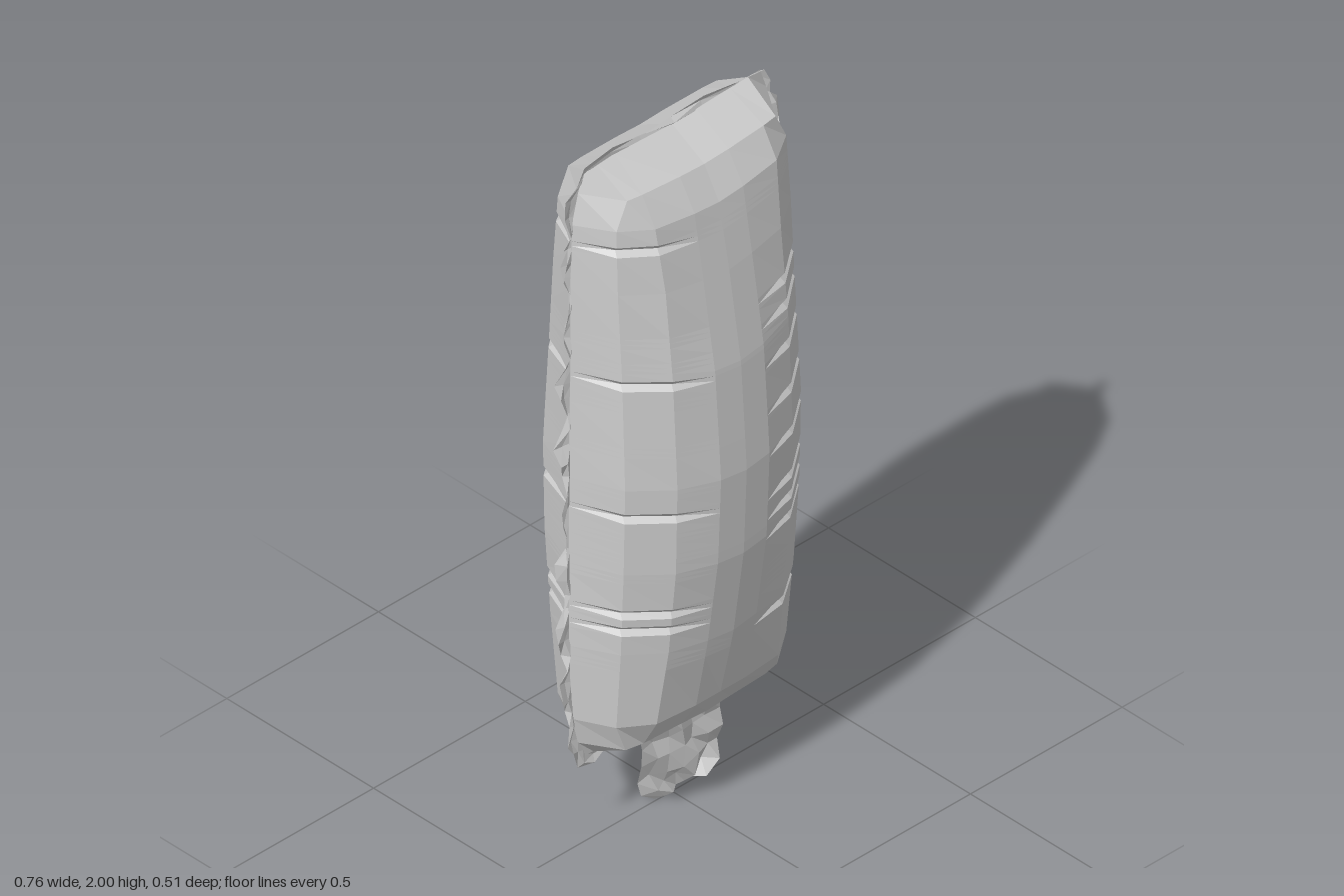
import * as THREE from 'three';

// Body sections: y, edge half-width, then x/z of three facets and the centre depth
const SECTIONS = [
  [1.97, 0.29, 0.25, 0, 0.19, 0, 0.08, 0, 0],
  [1.91, 0.31, 0.245, 0.1, 0.2, 0.105, 0.08, 0.11, 0.11],
  [1.83, 0.33, 0.28, 0.1, 0.2, 0.15, 0.08, 0.16, 0.16],
  [1.65, 0.335, 0.285, 0.11, 0.19, 0.175, 0.08, 0.19, 0.195],
  [1.4, 0.335, 0.285, 0.125, 0.19, 0.2, 0.08, 0.23, 0.235],
  [1.1, 0.34, 0.29, 0.14, 0.19, 0.215, 0.08, 0.25, 0.255],
  [0.85, 0.34, 0.29, 0.135, 0.19, 0.21, 0.08, 0.24, 0.245],
  [0.6, 0.34, 0.285, 0.12, 0.19, 0.185, 0.08, 0.205, 0.21],
  [0.38, 0.33, 0.28, 0.1, 0.2, 0.155, 0.08, 0.165, 0.165],
  [0.3, 0.31, 0.25, 0.1, 0.2, 0.11, 0.08, 0.115, 0.12],
  [0.25, 0.29, 0.26, 0, 0.19, 0, 0.08, 0, 0],
];

// Pinch creases: y, side (+1 / -1)
const CREASES = [
  [1.51, 1], [1.44, 1], [1.33, 1], [1.2, 1], [1.08, 1], [0.95, 1], [0.89, 1], [0.83, 1], [0.56, 1],
  [1.77, -1], [1.39, -1], [1.01, -1], [0.72, -1], [0.67, -1],
];

function makeRandom(seed) {
  return () => {
    seed = (seed * 16807) % 2147483647;
    return seed / 2147483647;
  };
}

function sectionAt(y) {
  let i = 0;
  while (i < SECTIONS.length - 2 && y < SECTIONS[i + 1][0]) i++;
  const a = SECTIONS[i], b = SECTIONS[i + 1];
  const t = THREE.MathUtils.clamp((a[0] - y) / (a[0] - b[0]), 0, 1);
  return a.map((v, k) => v + (b[k] - v) * t);
}

// Turn rows of points into a surface
function gridGeometry(rows, flip = false) {
  const n = rows[0].length, index = [];
  for (let r = 0; r < rows.length - 1; r++) {
    for (let c = 0; c < n - 1; c++) {
      const a = r * n + c, b = a + n;
      const quad = [a, b, b + 1, a, b + 1, a + 1];
      index.push(...(flip ? quad.reverse() : quad));
    }
  }
  const g = new THREE.BufferGeometry();
  g.setAttribute('position', new THREE.Float32BufferAttribute(rows.flat(2), 3));
  g.setIndex(index);
  g.computeVertexNormals();
  return g;
}

// One inflated half; sz is +1 for the front and -1 for the back
function panelGeometry(sz) {
  const levels = SECTIONS.map((s) => ({ y: s[0], side: 0 }))
    .filter((l) => CREASES.every(([y]) => Math.abs(y - l.y) > 0.025));
  for (const [y, side] of CREASES) {
    levels.push({ y: y + 0.014, side: 0 }, { y, side }, { y: y - 0.014, side: 0 });
  }
  levels.sort((a, b) => b.y - a.y);
  const rows = levels.map(({ y, side }) => {
    const [, w, ax, az, bx, bz, cx, cz, d] = sectionAt(y);
    const half = [[w, 0, 0], [ax, az, 0.013], [bx, bz, 0.011], [cx, cz, 0]];
    const bow = y > 0.45 && y < 1.85 ? 0.08 : 0;
    const point = (s) => ([x, z, dent]) => {
      const pinch = s === side ? dent : 0;
      const dip = y > 1.9 ? -0.04 * (0.25 - x) : 0;
      const lift = x < w ? bow * (x - 0.2) : 0;
      return [s * (x - pinch * 0.5), y + lift + dip, sz * (z - pinch)];
    };
    return [...half.map(point(-1)), point(1)([0, d, 0]), ...half.map(point(1)).reverse()];
  });
  return gridGeometry(rows, sz < 0);
}

// Crinkled flat seam running around the whole outline
function seamGeometry() {
  const rand = makeRandom(41);
  const inner = [], middle = [], outer = [];
  const add = (x, y, ox, oy) => {
    inner.push([x, y, 0]);
    middle.push([(x + ox) / 2, (y + oy) / 2, (rand() - 0.5) * 0.02]);
    outer.push([ox, oy, (rand() - 0.5) * 0.03]);
  };
  const side = (s) => {
    const n = 38;
    for (let i = 0; i <= n; i++) {
      const k = s > 0 ? i : n - i;
      const y = 0.27 + (1.67 * k) / n;
      const w = sectionAt(y)[1];
      const wave = 0.022 + 0.014 * Math.cos((k * Math.PI) / 2 + s) + 0.006 * rand();
      add(s * (w - 0.005), y, s * (w + wave), y + (rand() - 0.5) * 0.02);
    }
  };
  side(1);
  // top edge, dipping at the middle
  for (const [x, y] of [[0.29, 1.97], [0.2, 1.985], [0.1, 1.99], [0, 1.978], [-0.1, 1.99], [-0.2, 2], [-0.29, 1.985]]) {
    add(x, 1.958, x * 1.03, y);
  }
  side(-1);
  // bottom edge, with two hanging corners
  for (const [x, y] of [[-0.3, 0.215], [-0.26, 0.22], [-0.2, 0.236], [-0.1, 0.23], [0, 0.24], [0.1, 0.23], [0.17, 0.228], [0.24, 0.215], [0.29, 0.235]]) {
    add(x * 0.96, 0.255, x, y);
  }
  for (const loop of [inner, middle, outer]) loop.push([...loop[0]]);
  return gridGeometry([inner, middle, outer]);
}

// Crumpled filling tab below the body
function tabGeometry() {
  const rand = makeRandom(7);
  const profile = [[0.26, -0.11, 0.15], [0.22, -0.11, 0.15], [0.17, -0.1, 0.155], [0.12, -0.1, 0.16],
    [0.07, -0.105, 0.16], [0.03, -0.095, 0.145], [0, -0.05, 0.1]];
  const n = 6;
  return gridGeometry(profile.map(([y, l, r], row) => Array.from({ length: n + 1 }, (_, c) => {
    const inside = c > 0 && c < n && row > 0 && row < profile.length - 1;
    const jitter = inside ? 0.02 : 0;
    return [
      l + ((r - l) * c) / n + (rand() - 0.5) * jitter,
      y + (rand() - 0.5) * jitter,
      (rand() - 0.5) * 0.028,
    ];
  })));
}

export function createModel() {
  const group = new THREE.Group();
  group.name = 'inflatedPillow';
  const material = new THREE.MeshStandardMaterial({
    color: 0xcccccc, flatShading: true, side: THREE.DoubleSide,
  });
  const add = (name, geometry) => {
    const mesh = new THREE.Mesh(geometry, material);
    mesh.name = name;
    group.add(mesh);
  };
  add('frontPanel', panelGeometry(1));
  add('backPanel', panelGeometry(-1));
  add('seam', seamGeometry());
  add('fillingTab', tabGeometry());
  return group;
}
